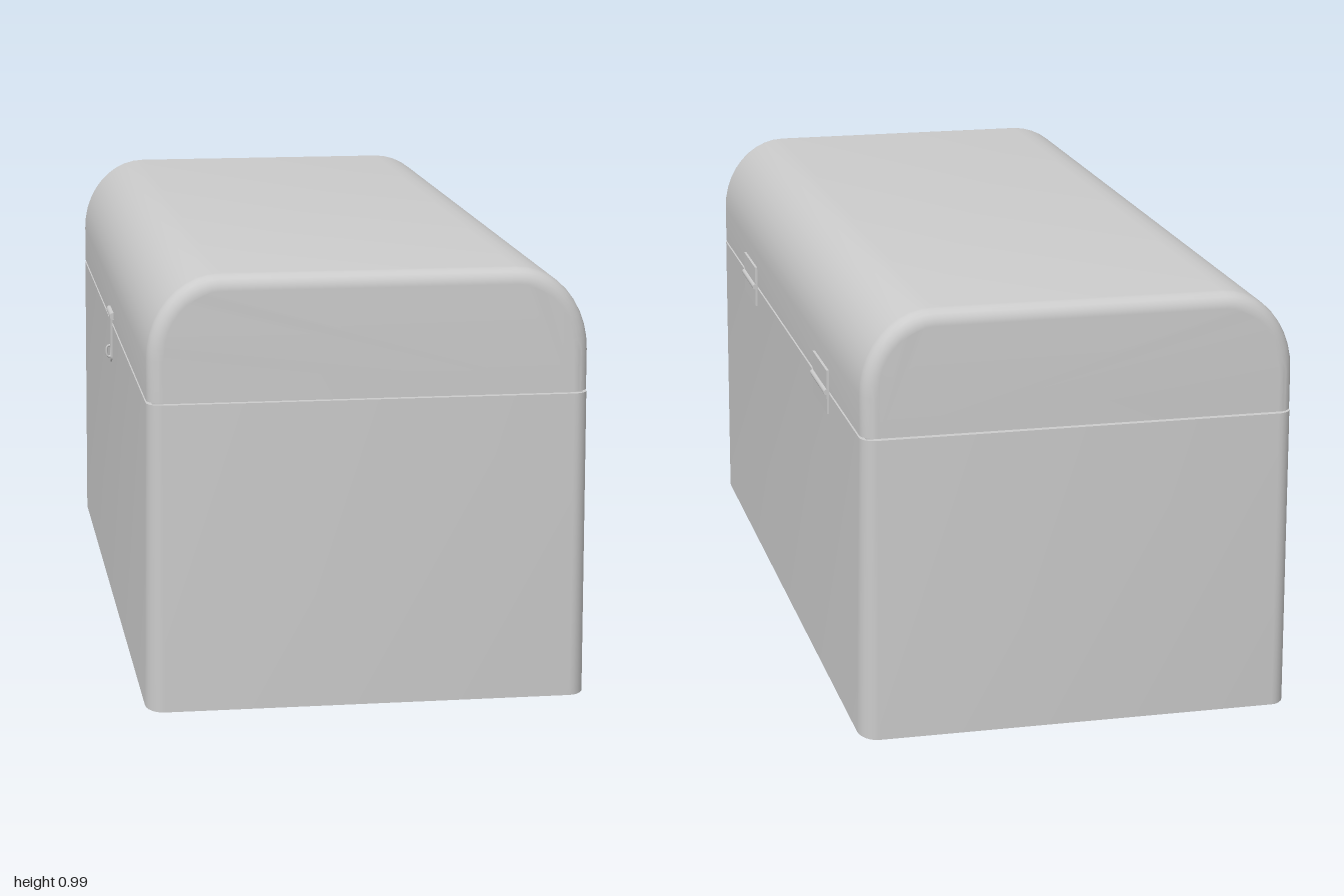
import * as THREE from 'three';
import { toCreasedNormals } from 'three/addons/utils/BufferGeometryUtils.js';

const material = new THREE.MeshStandardMaterial({ color: 0xcccccc });

function part(name, geometry, x = 0, y = 0, z = 0) {
  const mesh = new THREE.Mesh(geometry, material);
  mesh.name = name;
  mesh.position.set(x, y, z);
  return mesh;
}

// Skin a row of convex cross-sections (arrays of Vector3) and cap both ends.
function loft(rings) {
  const n = rings[0].length, pos = [], idx = [];
  rings.forEach(r => r.forEach(p => pos.push(p.x, p.y, p.z)));
  for (let i = 0; i < rings.length - 1; i++) {
    for (let j = 0; j < n; j++) {
      const a = i * n + j, b = i * n + (j + 1) % n;
      idx.push(a, b, b + n, a, b + n, a + n);
    }
  }
  const last = (rings.length - 1) * n;
  for (let j = 1; j < n - 1; j++) {
    idx.push(0, j + 1, j);
    idx.push(last, last + j, last + j + 1);
  }
  const g = new THREE.BufferGeometry();
  g.setAttribute('position', new THREE.Float32BufferAttribute(pos, 3));
  g.setIndex(idx);
  return toCreasedNormals(g, 0.45);
}

// Horizontal rounded rectangle, counter-clockwise seen from below z to x.
function bodyRing(y, hx, hz, rx, rz) {
  const pts = [];
  for (let q = 0; q < 4; q++) {
    for (let k = 0; k <= 6; k++) {
      const a = (q + k / 6) * Math.PI / 2;
      const sx = q === 0 || q === 3 ? 1 : -1, sz = q < 2 ? 1 : -1;
      pts.push(new THREE.Vector3(
        sx * (hx - rx) + rx * Math.cos(a), y, sz * (hz - rz) + rz * Math.sin(a)));
    }
  }
  return pts.reverse();
}

// Arched lid section, shrunk by inset d.
const SEAM = 0.711;
function lidRing(z, d) {
  const rx = 0.165 - d, ry = 0.19 - d, pts = [];
  pts.push(new THREE.Vector3(0.497 - d, SEAM, z));
  for (let s = 0; s < 2; s++) {
    for (let k = 0; k <= 10; k++) {
      const a = (s + k / 10) * Math.PI / 2;
      pts.push(new THREE.Vector3(
        (s ? -1 : 1) * 0.332 + rx * Math.cos(a), 0.803 + ry * Math.sin(a), z));
    }
  }
  pts.push(new THREE.Vector3(-0.497 + d, SEAM, z));
  return pts;
}

function lidGeometry() {
  const r = 0.035, rings = [lidRing(-1, r + 0.002)], steps = 6;
  for (const side of [-1, 1]) {
    for (let k = 0; k <= steps; k++) {
      const a = (side < 0 ? k : steps - k) / steps * Math.PI / 2;
      rings.push(lidRing(side * (1 - r + r * Math.cos(a)), r * (1 - Math.sin(a))));
    }
  }
  rings.push(lidRing(1, r + 0.002));
  return loft(rings);
}

// Two thin leaves and a barrel running along z.
function hinge(z) {
  const g = new THREE.Group();
  g.name = 'hinge';
  g.position.set(0.499, 0.709, z);
  g.add(part('upperLeaf', new THREE.BoxGeometry(0.008, 0.05, 0.18), 0, 0.027, 0));
  g.add(part('lowerLeaf', new THREE.BoxGeometry(0.008, 0.05, 0.18), 0, -0.027, 0));
  const barrel = new THREE.CylinderGeometry(0.007, 0.007, 0.18, 12).rotateX(Math.PI / 2);
  g.add(part('barrel', barrel, 0.004));
  return g;
}

// Pivot bar, hanging hasp and the staple it hooks over.
function latch() {
  const g = new THREE.Group();
  g.name = 'latch';
  g.position.set(-0.498, 0, 0);
  const bar = new THREE.CylinderGeometry(0.009, 0.009, 0.11, 12).rotateX(Math.PI / 2);
  g.add(part('pivotBar', bar, 0, 0.734, 0));

  const s = new THREE.Shape();
  s.moveTo(-0.022, 0.73);
  s.lineTo(-0.016, 0.625);
  s.absarc(0, 0.625, 0.016, Math.PI, Math.PI * 2, false);
  s.lineTo(0.022, 0.73);
  const slot = new THREE.Path();
  slot.absellipse(0, 0.637, 0.006, 0.018, 0, Math.PI * 2, true);
  s.holes.push(slot);
  const hasp = new THREE.ExtrudeGeometry(s, { depth: 0.005, bevelEnabled: false });
  hasp.rotateY(-Math.PI / 2);
  g.add(part('hasp', hasp));

  const path = new THREE.CatmullRomCurve3([
    [0.004, 0.622], [-0.011, 0.623], [-0.014, 0.636], [-0.011, 0.649], [0.004, 0.65],
  ].map(([x, y]) => new THREE.Vector3(x, y, 0)));
  g.add(part('staple', new THREE.TubeGeometry(path, 16, 0.003, 8)));
  return g;
}

export function createModel() {
  const model = new THREE.Group();
  model.name = 'chest';
  // Slightly flared box under a rounded lid, split by a narrow seam
  model.add(part('body', loft([
    bodyRing(0, 0.505, 1, 0.04, 0.06),
    bodyRing(0.706, 0.498, 1, 0.035, 0.035),
  ])));
  model.add(part('seam', new THREE.BoxGeometry(0.97, 0.02, 1.97), 0, 0.708, 0));
  model.add(part('lid', lidGeometry()));
  for (const z of [-0.515, 0.515]) model.add(hinge(z));
  model.add(latch());
  return model;
}
